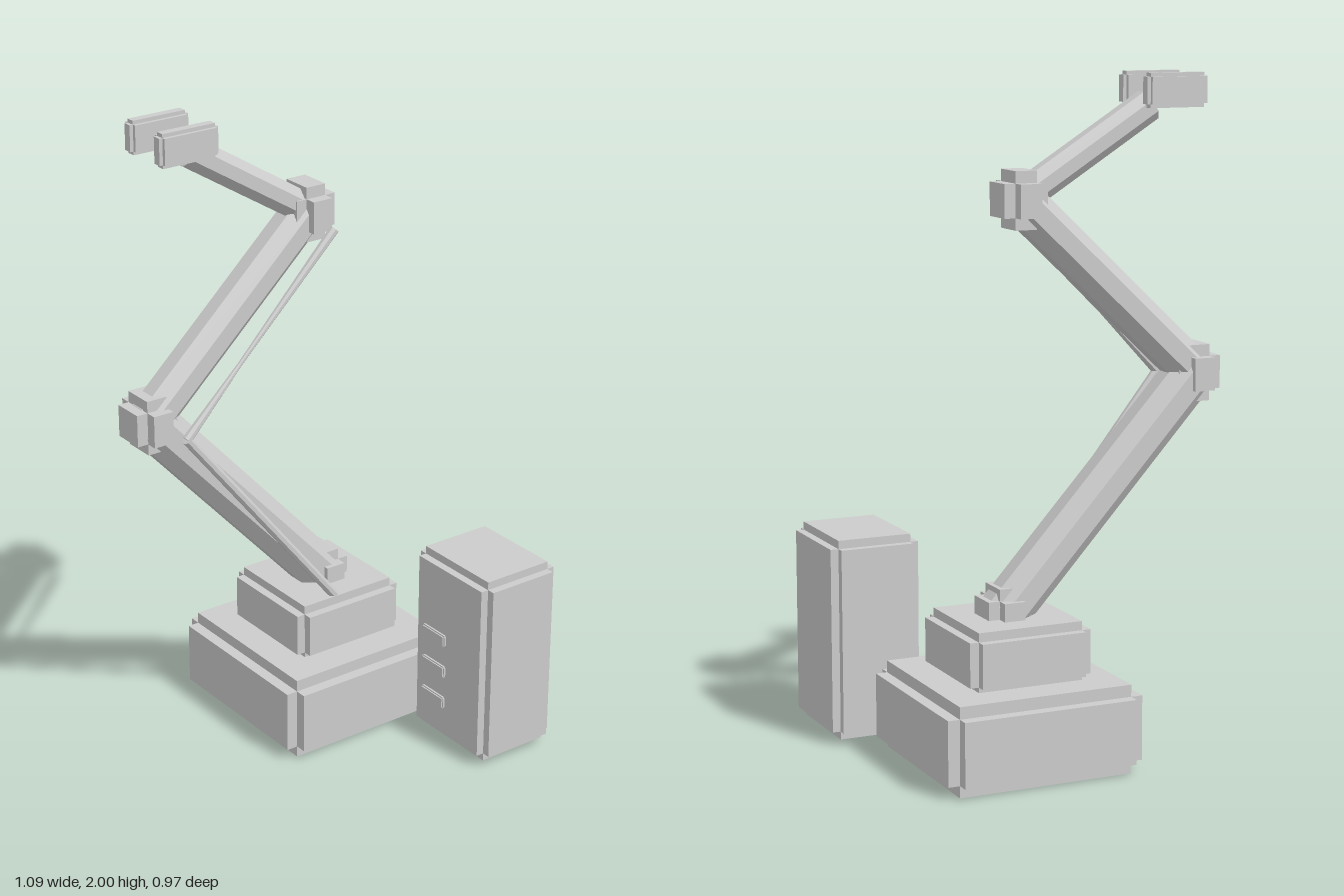
import * as THREE from 'three';

export function createModel() {
  const model = new THREE.Group();
  const mat = new THREE.MeshStandardMaterial({ color: 0xcccccc, flatShading: true });

  // Block with stepped edges: three crossing boxes, each full-size along one axis
  function block(name, [x, y, z], size, inset) {
    const g = new THREE.Group();
    g.name = name;
    for (let axis = 0; axis < 3; axis++) {
      const s = size.map((v, i) => (i === axis ? v : v - 2 * inset));
      const slab = new THREE.Mesh(new THREE.BoxGeometry(...s), mat);
      slab.name = name + 'Slab';
      g.add(slab);
    }
    g.position.set(x, y, z);
    model.add(g);
  }

  // Eight-sided strut between two points of the xy plane at depth z
  function strut(name, a, b, z, rA, rB = rA) {
    const dx = b[0] - a[0], dy = b[1] - a[1];
    const geo = new THREE.CylinderGeometry(rB, rA, Math.hypot(dx, dy), 8, 1, false, Math.PI / 8);
    const mesh = new THREE.Mesh(geo, mat);
    mesh.name = name;
    mesh.position.set((a[0] + b[0]) / 2, (a[1] + b[1]) / 2, z);
    mesh.rotation.z = Math.atan2(-dx, dy);
    model.add(mesh);
  }

  const armZ = -0.18;
  const shoulder = [0.138, 0.445], elbow = [-0.477, 1.118], wrist = [0.087, 1.648];
  const hand = [-0.325, 1.905];

  // Base and turntable
  block('base', [0.125, 0.1325, armZ], [0.61, 0.265, 0.61], 0.036);
  block('turntable', [0.125, 0.347, armZ], [0.38, 0.186, 0.38], 0.027);

  // Joints
  for (const [name, p] of Object.entries({ shoulderJoint: shoulder, elbowJoint: elbow, wristJoint: wrist }))
    block(name, [...p, armZ], [0.136, 0.168, 0.17], 0.035);

  // Arm segments
  strut('lowerArm', shoulder, elbow, armZ, 0.076);
  strut('upperArm', elbow, wrist, armZ, 0.066);
  strut('wristArm', wrist, hand, armZ, 0.049);

  // Cable beside the arm, pinched along its upper run
  const cableZ = -0.033, bend = [-0.44, 1.1], tip = [0.082, 1.628];
  const pinch = [0, 1].map(i => bend[i] + (tip[i] - bend[i]) * 0.36);
  strut('lowerCable', [0.115, 0.4], bend, cableZ, 0.015);
  strut('upperCable', bend, pinch, cableZ, 0.015, 0.007);
  strut('upperCable', pinch, tip, cableZ, 0.007, 0.015);

  // Gripper fingers
  for (const side of [-1, 1])
    block('gripperFinger', [-0.373, 1.95, armZ + side * 0.075], [0.195, 0.1, 0.048], 0.011);

  // Control cabinet with buttons on its side
  block('controlCabinet', [0.4, 0.32, 0.3125], [0.28, 0.61, 0.345], 0.025);
  for (let i = 0; i < 3; i++)
    block('cabinetButton', [0.261, 0.15 + i * 0.107, 0.248], [0.022, 0.038, 0.106], 0.004);

  return model;
}
